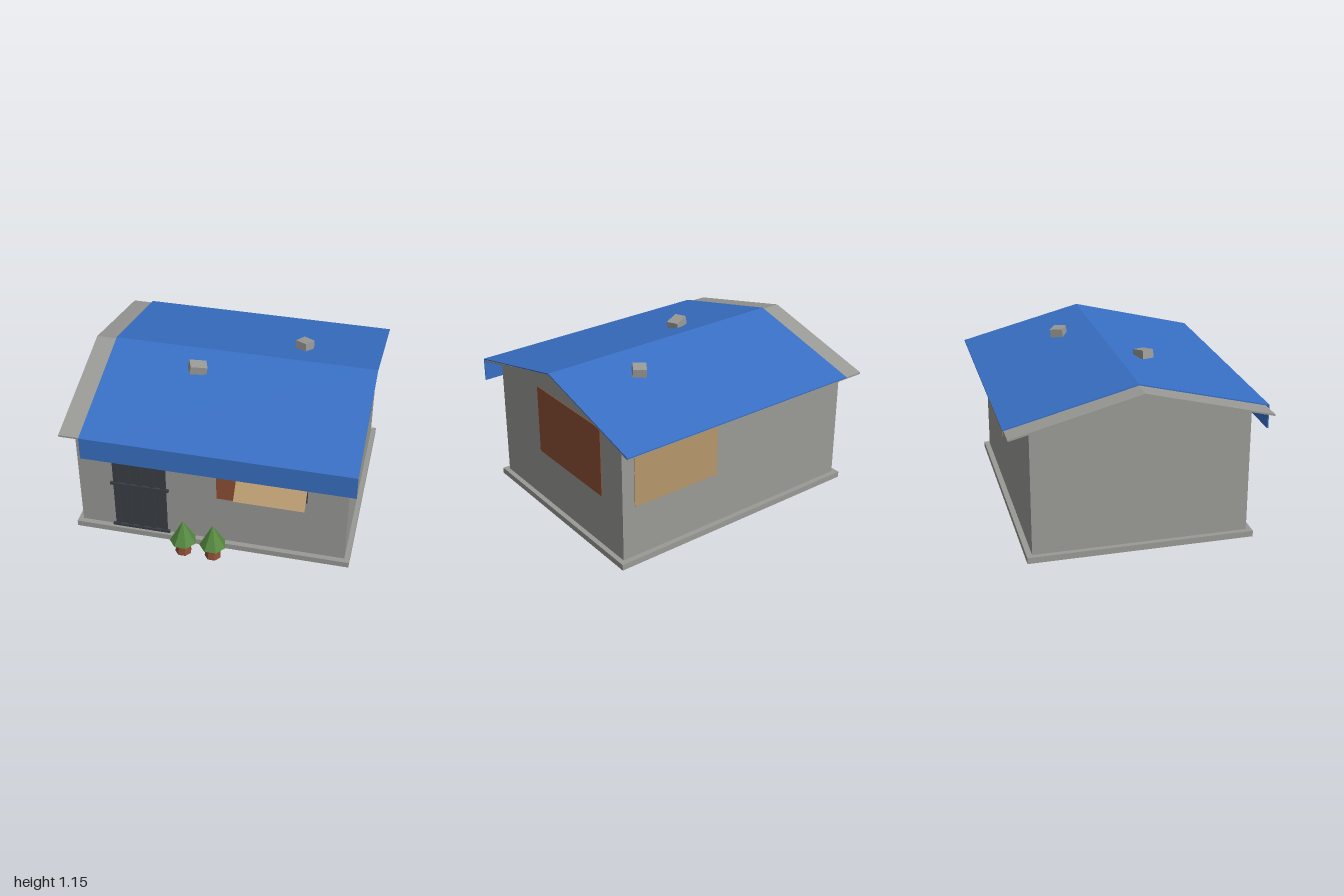
import * as THREE from 'three';

const mat = (name, color) => {
  const m = new THREE.MeshStandardMaterial({ color });
  m.name = name;
  return m;
};

export function createModel() {
  const house = new THREE.Group();
  house.name = 'house';
  const grey = mat('concrete grey', 0x999996);
  const blue = mat('tarp blue', 0x386fc4);
  const rust = mat('rust brown', 0x8e5035);
  const tan = mat('plywood tan', 0xb5976a);
  const dark = mat('dark metal', 0x3a3f46);
  const green = mat('leaf green', 0x55893f);

  const add = (name, geo, material, x = 0, y = 0, z = 0, parent = house) => {
    const mesh = new THREE.Mesh(geo, material);
    mesh.name = name;
    mesh.position.set(x, y, z);
    parent.add(mesh);
    return mesh;
  };
  // Box given by its limits on each axis
  const block = (name, material, [x0, x1], [y0, y1], [z0, z1], parent) =>
    add(name, new THREE.BoxGeometry(x1 - x0, y1 - y0, z1 - z0), material,
      (x0 + x1) / 2, (y0 + y1) / 2, (z0 + z1) / 2, parent);
  // Outline of [z, y] points extruded along x
  const alongX = (name, material, points, x0, x1) => {
    const shape = new THREE.Shape(points.map(([z, y]) => new THREE.Vector2(-z, y)));
    const geo = new THREE.ExtrudeGeometry(shape, { depth: x1 - x0, bevelEnabled: false });
    geo.rotateY(Math.PI / 2);
    return add(name, geo, material, x0);
  };

  // Foundation and gabled walls
  const ridge = -0.027;
  block('foundation', grey, [-0.975, 0.975], [0, 0.043], [-0.8, 0.748]);
  alongX('walls', grey, [[0.71, 0.04], [0.71, 0.914], [ridge, 1.106], [-0.762, 0.914], [-0.762, 0.04]], -0.94, 0.94);

  // Roof slab with a tarp laid over most of it
  const chevron = (front, back, eave, top, t) => [
    [front, eave], [ridge, top], [back, eave],
    [back, eave - t], [ridge, top - t], [front, eave - t]];
  alongX('roofSlab', grey, chevron(0.85, -0.905, 0.893, 1.118, 0.012), -1, 0.995);
  alongX('roofTarp', blue, chevron(0.867, -0.914, 0.902, 1.128, 0.008), -0.855, 1);
  block('tarpValance', blue, [-0.855, 1], [0.735, 0.9], [0.859, 0.867]);

  // Loose blocks weighing the tarp down
  const weightA = add('roofWeight', new THREE.BoxGeometry(0.118, 0.06, 0.088), grey, -0.212, 1.105, 0.178);
  weightA.rotation.set(0.06, 0.35, -0.2);
  const weightB = add('roofWeight', new THREE.BoxGeometry(0.093, 0.06, 0.093), grey, 0.454, 1.094, -0.283);
  weightB.rotation.set(-0.15, -0.54, 0);

  // Patches on the walls
  block('frontPatch', rust, [0.04, 0.58], [0.42, 0.905], [0.709, 0.714]);
  block('sidePatch', rust, [0.938, 0.945], [0.42, 0.92], [-0.53, 0.225]);
  block('backPatch', tan, [0.17, 0.845], [0.42, 0.905], [-0.767, -0.76]);

  // Barred door
  const door = new THREE.Group();
  door.name = 'door';
  house.add(door);
  block('doorPanel', dark, [-0.69, -0.315], [0.043, 0.855], [0.709, 0.717], door);
  for (let i = 0; i < 5; i++) {
    const x = -0.67 + i * 0.084;
    block('doorBar', dark, [x - 0.019, x + 0.019], [0.045, 0.855], [0.715, 0.727], door);
  }
  for (const y of [0.056, 0.43, 0.805])
    block('doorRail', dark, [-0.71, -0.295], [y - 0.01, y + 0.01], [0.715, 0.732], door);

  // Window with a propped awning
  block('window', dark, [0.205, 0.665], [0.505, 0.79], [0.71, 0.725]);
  alongX('awning', tan, [[0.716, 0.815], [0.722, 0.821], [0.913, 0.594], [0.906, 0.588]], 0.2, 0.675);

  // Two small seven-sided trees
  for (const x of [-0.17, 0.04]) {
    const tree = new THREE.Group();
    tree.name = 'tree';
    tree.position.set(x, 0, 0.832);
    tree.rotation.y = Math.PI / 7;
    house.add(tree);
    const facet = (geo) => {
      const flat = geo.toNonIndexed();
      flat.computeVertexNormals();
      return flat;
    };
    add('trunk', facet(new THREE.CylinderGeometry(0.042, 0.058, 0.11, 7)), rust, 0, 0.055, 0, tree);
    add('foliage', facet(new THREE.ConeGeometry(0.094, 0.172, 7)), green, 0, 0.188, 0, tree);
  }
  return house;
}
